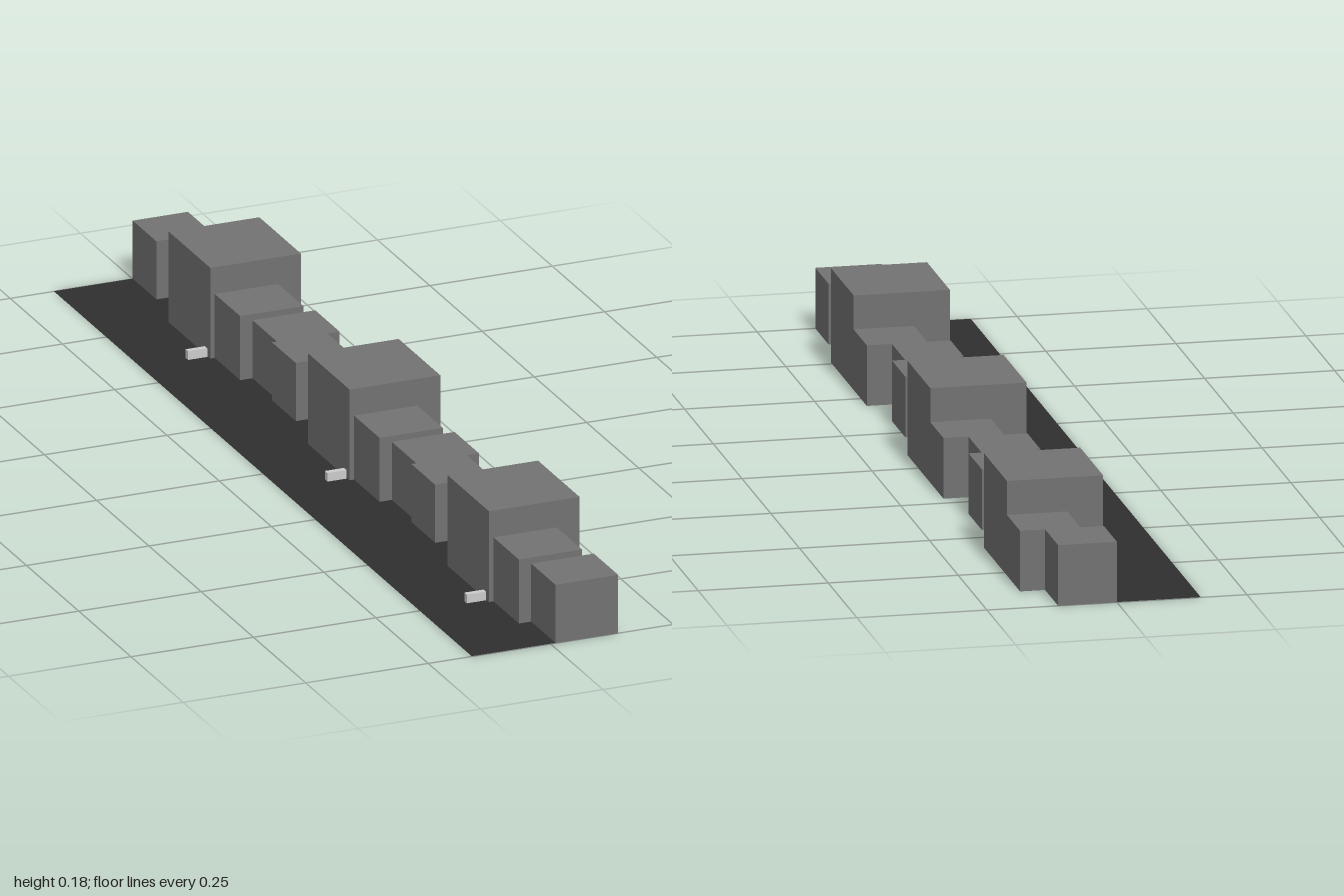
import * as THREE from 'three';

export function createModel() {
  const group = new THREE.Group();
  const wallMat = new THREE.MeshStandardMaterial({ color: 0x727272 });
  const roadMat = new THREE.MeshStandardMaterial({ color: 0x2f2f2f, side: THREE.DoubleSide });
  const benchMat = new THREE.MeshStandardMaterial({ color: 0xcccccc });

  // Box given by its x, y and z ranges
  function block(name, x0, x1, y0, y1, z0, z1, mat) {
    const mesh = new THREE.Mesh(new THREE.BoxGeometry(x1 - x0, y1 - y0, z1 - z0), mat);
    mesh.position.set((x0 + x1) / 2, (y0 + y1) / 2, (z0 + z1) / 2);
    mesh.name = name;
    group.add(mesh);
  }

  // Thin street strip along the row
  const road = new THREE.Mesh(new THREE.PlaneGeometry(0.241, 2).rotateX(-Math.PI / 2), roadMat);
  road.position.set(-0.0405, 0.0006, 0);
  road.name = 'street';
  group.add(road);

  // One run of five houses: name, x range, height, z range from the run's start
  const run = [
    ['endHouse', 0, 0.113, 0.118, 0, 0.114],
    ['setBackHouse', 0.045, 0.161, 0.118, 0.114, 0.229],
    ['largeHouse', -0.024, 0.161, 0.184, 0.229, 0.428],
    ['mediumHouse', -0.015, 0.114, 0.13, 0.428, 0.55],
    ['smallHouse', 0.01, 0.138, 0.118, 0.55, 0.6667],
  ];

  // Three repeats of the run, each with a kerbside block by the large house
  for (let i = 0; i < 3; i++) {
    const z = -1 + (i * 2) / 3;
    for (const [name, x0, x1, h, a, b] of run) block(name, x0, x1, 0, h, z + a, z + b, wallMat);
    block('kerbBlock', -0.065, -0.026, 0, 0.018, z + 0.406, z + 0.418, benchMat);
  }
  return group;
}
